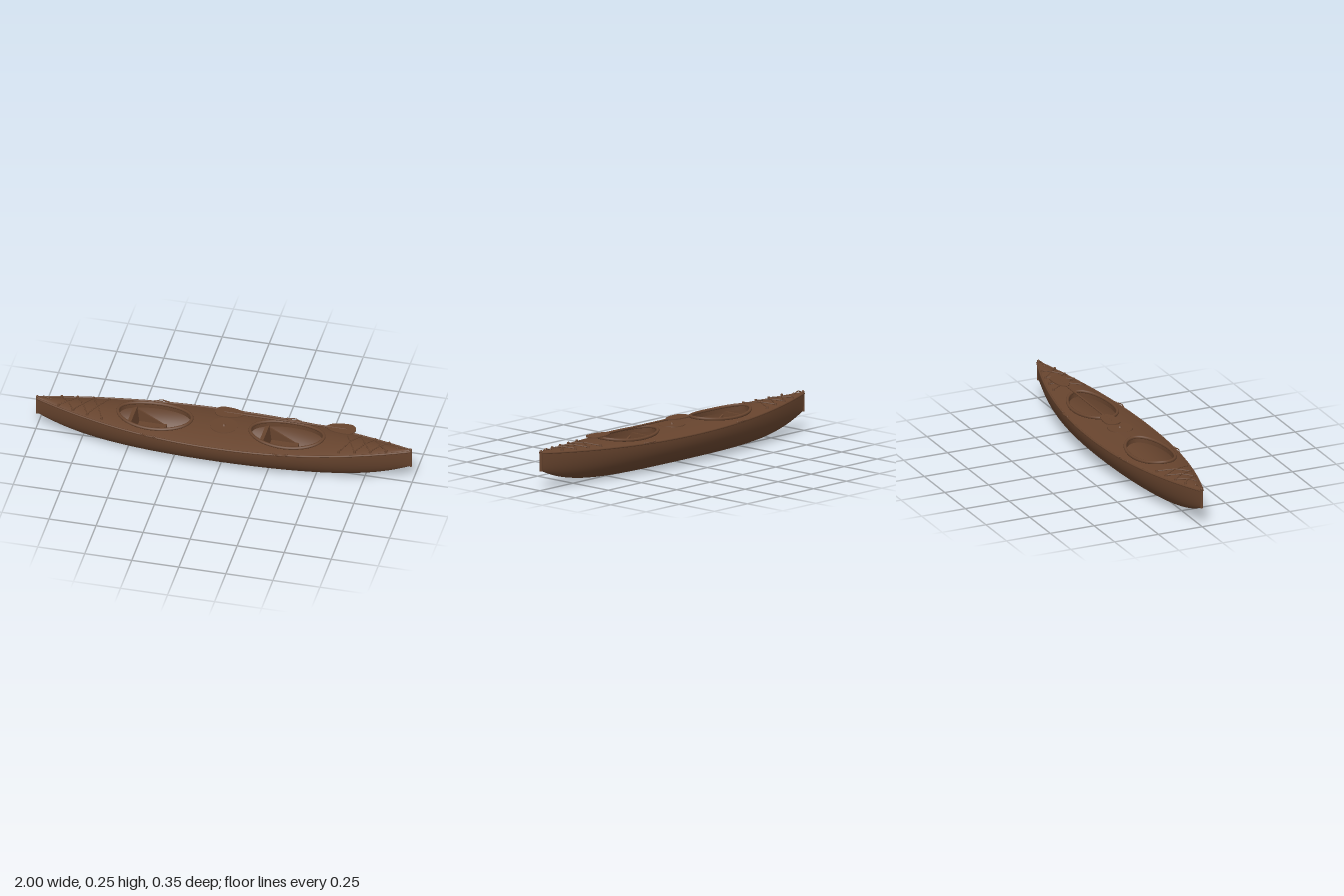
import * as THREE from 'three';

const brown = new THREE.MeshStandardMaterial({ color: 0x67442e, side: THREE.DoubleSide });
brown.name = 'brown';

// Hull lines: half width, edge height, keel height and deck height
const END = 0.992;
const halfWidth = x => 0.165 * (1 - Math.pow(Math.abs(x) / END, 2.1)) + 0.007;
const sheer = x => 0.165 + 0.034 * x * x;
const keel = x => 0.108 * Math.pow(Math.abs(x), 4.6);
const deckY = (x, z) => {
  const t = Math.min(1, Math.abs(z) / halfWidth(x));
  return sheer(x) + (0.028 - 0.02 * x * x) * (1 - t * t);
};
const onDeck = (x, z, lift = 0) => new THREE.Vector3(x, deckY(x, z) + lift, z);

const cockpits = [-0.367, 0.335];
const RX = 0.192, RZ = 0.107;

// Surface from a function of integer grid coordinates
function grid(nu, nv, fn) {
  const pos = [], idx = [];
  for (let i = 0; i <= nu; i++) for (let j = 0; j <= nv; j++) pos.push(...fn(i, j));
  for (let i = 0; i < nu; i++) for (let j = 0; j < nv; j++) {
    const a = i * (nv + 1) + j, b = a + nv + 1;
    idx.push(a, a + 1, b, b, a + 1, b + 1);
  }
  const g = new THREE.BufferGeometry();
  g.setAttribute('position', new THREE.Float32BufferAttribute(pos, 3));
  g.setIndex(idx);
  g.computeVertexNormals();
  return g;
}

export function createModel() {
  const kayak = new THREE.Group();
  kayak.name = 'kayak';
  const add = (name, geo, x = 0, y = 0, z = 0) => {
    const m = new THREE.Mesh(geo, brown);
    m.name = name;
    m.position.set(x, y, z);
    kayak.add(m);
    return m;
  };
  const tube = (name, pts, r, closed = false, seg = 48) =>
    add(name, new THREE.TubeGeometry(new THREE.CatmullRomCurve3(pts, closed), seg, r, 8, closed));
  // Straight cord between two points
  const cord = (name, a, b, r) =>
    add(name, new THREE.TubeGeometry(new THREE.LineCurve3(a, b), 1, r, 6));

  // Rounded hull
  const NU = 80, NV = 32;
  add('hull', grid(NU, NV, (i, j) => {
    const x = -END * Math.cos(Math.PI * i / NU), t = Math.PI * j / NV;
    return [x, sheer(x) - (sheer(x) - keel(x)) * Math.sin(t), -halfWidth(x) * Math.cos(t)];
  }));

  // Crowned deck halves, each running from the centre line or cockpit edge to the gunwale
  const stations = [];
  const knots = [-END, cockpits[0] - RX, cockpits[0] + RX, cockpits[1] - RX, cockpits[1] + RX, END];
  for (let k = 0; k < 5; k++) for (let i = k ? 1 : 0; i <= 24; i++)
    stations.push(knots[k] + (knots[k + 1] - knots[k]) * (1 - Math.cos(Math.PI * i / 24)) / 2);
  const holeEdge = x => Math.max(...cockpits.map(c => RZ * Math.sqrt(Math.max(0, 1 - ((x - c) / RX) ** 2))));
  for (const s of [1, -1]) {
    add(s > 0 ? 'deckFront' : 'deckBack', grid(stations.length - 1, 10, (i, j) => {
      const x = stations[i], e = holeEdge(x);
      const z = e + (halfWidth(x) - e) * (s > 0 ? j : 10 - j) / 10;
      return [x, deckY(x, z), s * z];
    }));
    // Gunwale strip along the deck edge
    const edge = [];
    for (let i = 0; i <= 40; i++) {
      const x = -END * Math.cos(Math.PI * i / 40);
      edge.push(new THREE.Vector3(x, sheer(x), s * halfWidth(x)));
    }
    tube('gunwale', edge, 0.0055, false, 100);

    // Side carry handles with end knobs
    for (const c of cockpits) {
      const at = (dx, out, up) => new THREE.Vector3(c + dx, sheer(c) + up, s * (halfWidth(c + dx) + out));
      const p = [at(-0.035, 0, 0.004), at(-0.01, 0.01, 0.006), at(0.01, 0.01, 0.006), at(0.035, 0, 0.004)];
      for (let i = 0; i < 3; i++) cord('sideHandle', p[i], p[i + 1], 0.003);
      for (const q of [p[0], p[3]]) add('handleKnob', new THREE.SphereGeometry(0.006, 10, 8), q.x, q.y, q.z);
    }

    // Stem post and end toggle
    const stem = add('stemPost', new THREE.CylinderGeometry(0.008, 0.007, 0.1, 12),
      s * END, (sheer(END) + keel(END)) / 2 + 0.001, 0);
    stem.scale.z = 1.05;
    add('stemCap', new THREE.SphereGeometry(0.008, 12, 8), s * END, 0.206, 0);
    tube('endHandle', [onDeck(s * 0.975, 0, 0.002), onDeck(s * 0.955, 0, 0.009), onDeck(s * 0.93, 0, 0.002)], 0.003, false, 12);

    // Crossed deck lines with their fittings
    const rows = [0.63, 0.71, 0.79, 0.87];
    const anchor = (x, side) => onDeck(s * x, side * (halfWidth(x) * 0.8 - 0.002), 0.006);
    rows.forEach((x, i) => {
      for (const side of [1, -1]) {
        const p = anchor(x, side);
        add('lineFitting', new THREE.CylinderGeometry(0.006, 0.008, 0.012, 10), p.x, p.y, p.z);
        if (i < 3) {
          const q = anchor(rows[i + 1], -side), mid = onDeck((p.x + q.x) / 2, 0, 0.004);
          cord('deckLine', p, mid, 0.003);
          cord('deckLine', mid, q, 0.003);
        }
      }
    });
    add('deckKnob', new THREE.SphereGeometry(0.007, 10, 8), s * 0.92, deckY(0.92, 0), 0);
  }

  // Cockpit rims, inner walls, and seats
  for (const c of cockpits) {
    const ring = (rx, rz, lift) => Array.from({ length: 48 }, (_, i) => {
      const a = i / 48 * Math.PI * 2;
      return onDeck(c + rx * Math.cos(a), rz * Math.sin(a), lift);
    });
    tube('cockpitRim', ring(RX + 0.003, RZ + 0.003, 0.006), 0.0085, true, 96);
    add('cockpitWall', grid(48, 1, (i, j) => {
      const p = ring(RX - 0.003, RZ - 0.003, j ? -0.022 : 0.006)[i % 48];
      return [p.x, p.y, p.z];
    }));
    add('seatBase', new THREE.BoxGeometry(0.165, 0.02, 0.18), c - 0.04, 0.07, 0);
    const back = add('seatBack', new THREE.BoxGeometry(0.02, 0.1, 0.18), c - 0.118, 0.12, 0);
    back.rotation.z = 0.12;
    // Triangular seat sides
    const side = new THREE.Shape([[-0.12, 0.07], [0.04, 0.07], [-0.12, 0.16]].map(p => new THREE.Vector2(...p)));
    for (const z of [-0.092, 0.084])
      add('seatSide', new THREE.ExtrudeGeometry(side, { depth: 0.008, bevelEnabled: false }), c, 0, z);
  }

  // Round centre hatch with a small knob
  const hatch = add('centreHatch', new THREE.CylinderGeometry(0.072, 0.074, 0.008, 40), 0, 0.19, 0);
  hatch.scale.z = 0.9;
  add('hatchKnob', new THREE.ConeGeometry(0.01, 0.012, 12), 0, 0.2, 0);

  // Double paddle lying above the deck
  const shaft = add('paddleShaft', new THREE.CylinderGeometry(0.005, 0.005, 0.65, 12), 0.315, 0.24, -0.052);
  shaft.rotation.z = Math.PI / 2;
  for (const s of [-1, 1]) {
    const outline = new THREE.Shape();
    outline.moveTo(-0.085, 0);
    outline.bezierCurveTo(-0.07, 0.035, -0.02, 0.043, 0.03, 0.042);
    outline.bezierCurveTo(0.085, 0.04, 0.085, -0.04, 0.03, -0.042);
    outline.bezierCurveTo(-0.02, -0.043, -0.07, -0.035, -0.085, 0);
    const blade = add('paddleBlade', new THREE.ExtrudeGeometry(outline, { depth: 0.006, bevelEnabled: false, curveSegments: 16 }),
      0.315 + s * 0.302, 0.237 , -0.052);
    blade.rotation.set(-Math.PI / 2, 0, s > 0 ? 0 : Math.PI);
  }
  return kayak;
}
